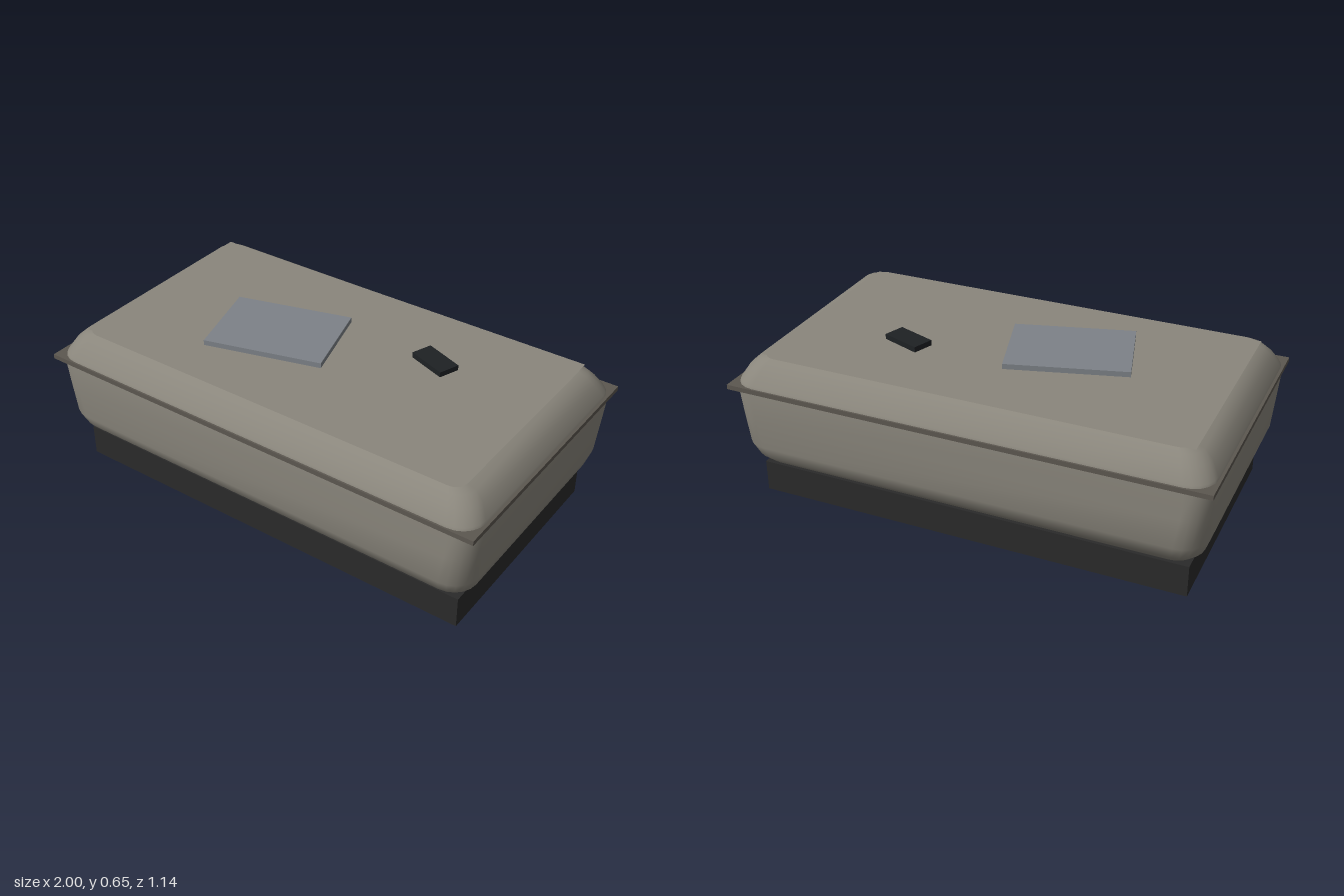
import * as THREE from 'three';

const mat = (color, side = THREE.FrontSide) => new THREE.MeshStandardMaterial({ color, side });

function box(name, size, pos, color, turn = 0) {
  const mesh = new THREE.Mesh(new THREE.BoxGeometry(...size), mat(color));
  mesh.name = name;
  mesh.position.set(...pos);
  mesh.rotation.y = turn;
  return mesh;
}

// One rounded-rectangle ring at height y, running round from +x towards +z
function ring(y, hx, hz, r, steps = 5) {
  const pts = [];
  const corners = [[1, 1], [-1, 1], [-1, -1], [1, -1]];
  corners.forEach(([sx, sz], c) => {
    for (let i = 0; i <= steps; i++) {
      const a = (c + i / steps) * Math.PI / 2;
      pts.push([sx * (hx - r) + r * Math.cos(a), y, sz * (hz - r) + r * Math.sin(a)]);
    }
  });
  return pts;
}

// Skin the rings from bottom to top and close both ends
function loft(rings) {
  const n = rings[0].length;
  const pos = rings.flat(2);
  const index = [];
  for (let k = 0; k < rings.length - 1; k++) {
    for (let i = 0; i < n; i++) {
      const j = (i + 1) % n, a = k * n, b = a + n;
      index.push(a + i, b + i, a + j, a + j, b + i, b + j);
    }
  }
  // caps keep their own vertices so that their rims stay crisp
  [rings[0], rings[rings.length - 1]].forEach((r, top) => {
    const start = pos.length / 3;
    pos.push(...r.flat(), 0, r[0][1], 0);
    for (let i = 0; i < n; i++) {
      const j = (i + 1) % n;
      if (top) index.push(start + n, start + j, start + i);
      else index.push(start + n, start + i, start + j);
    }
  });
  const geo = new THREE.BufferGeometry();
  geo.setAttribute('position', new THREE.Float32BufferAttribute(pos, 3));
  geo.setIndex(index);
  geo.computeVertexNormals();
  return geo;
}

export function createModel() {
  const model = new THREE.Group();
  model.name = 'ottoman';

  // Plinth
  model.add(box('base', [1.83, 0.135, 0.97], [0, 0.0675, 0], 0x2a2a2a));

  // Upholstered body: height, half width, half depth, corner radius
  const profile = [
    [0.135, 0.88, 0.45, 0.06], [0.15, 0.92, 0.49, 0.08], [0.19, 0.955, 0.53, 0.1],
    [0.25, 0.975, 0.558, 0.11], [0.38, 0.985, 0.562, 0.1], [0.5, 0.995, 0.568, 0.1],
    [0.53, 0.985, 0.56, 0.1], [0.58, 0.955, 0.525, 0.09], [0.612, 0.92, 0.495, 0.07],
    [0.624, 0.885, 0.475, 0.05],
  ];
  const cushion = new THREE.Mesh(loft(profile.map(p => ring(...p))), mat(0x8a867c));
  cushion.name = 'cushion';
  model.add(cushion);

  // Square-cornered seam band
  model.add(box('seamBand', [2, 0.02, 1.14], [0, 0.51, 0], 0x5c5750));

  // Slightly tilted top panel with a shallow fold in the middle
  const panelGeo = new THREE.BufferGeometry();
  panelGeo.setAttribute('position', new THREE.Float32BufferAttribute([
    -0.9, 0.625, -0.47, -0.9, 0.625, 0.46, 0.86, 0.637, 0.44, 0.89, 0.635, -0.47, 0, 0.63, 0,
  ], 3));
  panelGeo.setIndex([4, 0, 1, 4, 1, 2, 4, 2, 3, 4, 3, 0]);
  panelGeo.computeVertexNormals();
  const panel = new THREE.Mesh(panelGeo, mat(0x8a867c, THREE.DoubleSide));
  panel.name = 'topPanel';
  model.add(panel);

  // Things lying on top
  model.add(box('magazine', [0.5, 0.022, 0.365], [-0.23, 0.644, 0.042], 0x7d8288, 0.275));
  model.add(box('remote', [0.175, 0.024, 0.09], [0.405, 0.643, -0.138], 0x1e2124, -0.35));

  return model;
}
